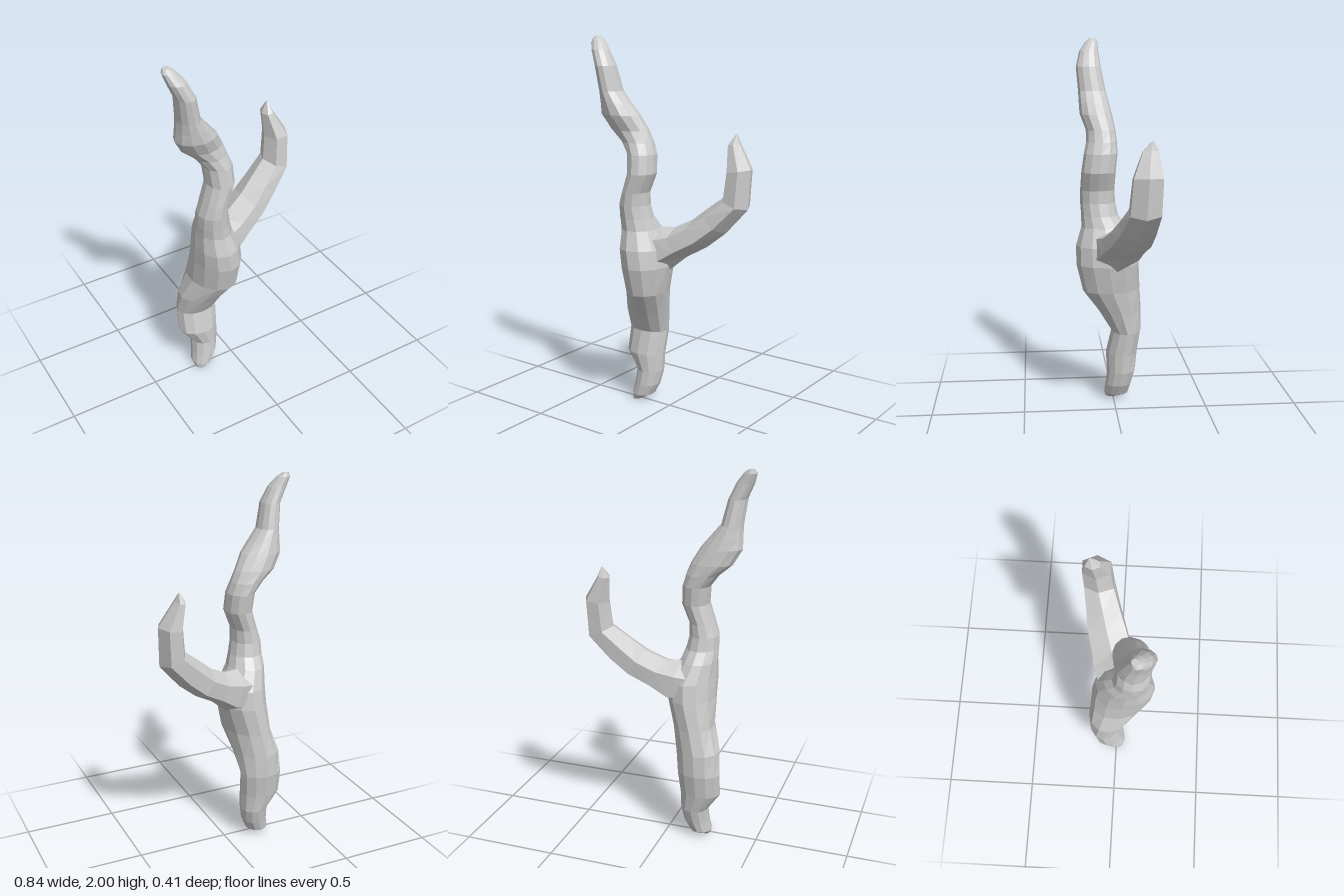
import * as THREE from 'three';

const material = new THREE.MeshStandardMaterial({ color: 0xcccccc, flatShading: true });

// Skins rings { c: centre, u, v: half axes } and closes both ends
function loft(name, rings, sides) {
  const pos = [], idx = [];
  for (const { c, u, v } of rings) {
    for (let i = 0; i < sides; i++) {
      const a = (i / sides) * Math.PI * 2;
      const p = c.clone().addScaledVector(u, Math.cos(a)).addScaledVector(v, Math.sin(a));
      pos.push(p.x, p.y, p.z);
    }
  }
  const last = (rings.length - 1) * sides, bottom = rings.length * sides, top = bottom + 1;
  for (const r of [rings[0], rings[rings.length - 1]]) pos.push(r.c.x, r.c.y, r.c.z);
  for (let i = 0; i < sides; i++) {
    const j = (i + 1) % sides;
    for (let k = 0; k < last; k += sides) {
      idx.push(k + i, k + sides + i, k + j, k + j, k + sides + i, k + sides + j);
    }
    idx.push(bottom, i, j, top, last + j, last + i);
  }
  const geo = new THREE.BufferGeometry();
  geo.setAttribute('position', new THREE.Float32BufferAttribute(pos, 3));
  geo.setIndex(idx);
  geo.computeVertexNormals();
  const mesh = new THREE.Mesh(geo, material);
  mesh.name = name;
  return mesh;
}

// Trunk: level rings as [y, xMin, xMax, zBack, zFront, sideways lean of the front]
function trunk() {
  const levels = [
    [0.0, -0.24, -0.19, -0.03, 0.04, 0],
    [0.03, -0.25, -0.13, -0.085, 0.05, 0],
    [0.09, -0.24, -0.1, -0.1, 0.045, 0],
    [0.17, -0.235, -0.085, -0.12, 0.035, 0],
    [0.27, -0.305, -0.08, -0.135, 0.04, 0],
    [0.4, -0.305, -0.07, -0.155, 0.01, 0],
    [0.52, -0.295, -0.05, -0.155, 0.08, 0.01],
    [0.65, -0.25, -0.02, -0.145, 0.17, 0.02],
    [0.8, -0.245, 0.01, -0.135, 0.205, 0.0],
    [0.9, -0.245, 0.0, -0.12, 0.205, -0.01],
    [1.0, -0.245, -0.05, -0.07, 0.175, 0],
    [1.06, -0.245, -0.07, -0.025, 0.175, 0],
    [1.13, -0.243, -0.085, -0.01, 0.18, 0],
    [1.2, -0.22, -0.085, -0.005, 0.18, 0],
    [1.3, -0.19, -0.045, -0.01, 0.175, 0],
    [1.4, -0.2, -0.05, -0.02, 0.16, 0],
    [1.46, -0.245, -0.07, -0.02, 0.145, 0],
    [1.52, -0.315, -0.095, -0.015, 0.145, 0],
    [1.6, -0.36, -0.14, 0.0, 0.175, 0],
    [1.66, -0.357, -0.19, 0.015, 0.178, 0],
    [1.72, -0.355, -0.24, 0.03, 0.18, 0],
    [1.85, -0.37, -0.27, 0.055, 0.19, 0],
    [1.93, -0.405, -0.31, 0.065, 0.17, 0],
    [1.98, -0.42, -0.35, 0.068, 0.135, 0],
    [2.0, -0.41, -0.375, 0.075, 0.11, 0],
  ];
  return loft('trunk', levels.map(([y, x0, x1, z0, z1, lean]) => ({
    c: new THREE.Vector3((x0 + x1) / 2, y, (z0 + z1) / 2),
    u: new THREE.Vector3((x1 - x0) / 2, 0, 0),
    v: new THREE.Vector3(lean, 0, (z1 - z0) / 2),
  })), 12);
}

// Side branch: rings square to its path as [x, y, z, in-plane radius, depth radius]
function sideBranch() {
  const stops = [
    [-0.13, 0.87, 0.01, 0.12, 0.12],
    [-0.04, 0.89, -0.01, 0.12, 0.135],
    [0.05, 0.93, -0.035, 0.085, 0.125],
    [0.15, 0.985, -0.065, 0.082, 0.12],
    [0.24, 1.06, -0.09, 0.082, 0.105],
    [0.34, 1.16, -0.117, 0.075, 0.09],
    [0.35, 1.33, -0.128, 0.066, 0.085],
    [0.305, 1.46, -0.145, 0.03, 0.045],
    [0.312, 1.51, -0.155, 0.004, 0.006],
  ];
  const rings = stops.map(([x, y, z, r, depth], i) => {
    const a = stops[Math.max(i - 1, 0)], b = stops[Math.min(i + 1, stops.length - 1)];
    const d = new THREE.Vector2(b[0] - a[0], b[1] - a[1]).normalize();
    return {
      c: new THREE.Vector3(x, y, z),
      u: new THREE.Vector3(d.y * r, -d.x * r, 0),
      v: new THREE.Vector3(0, 0, depth),
    };
  });
  return loft('sideBranch', rings, 6);
}

export function createModel() {
  const group = new THREE.Group();
  group.name = 'driftwoodBranch';
  group.add(trunk(), sideBranch());
  return group;
}
